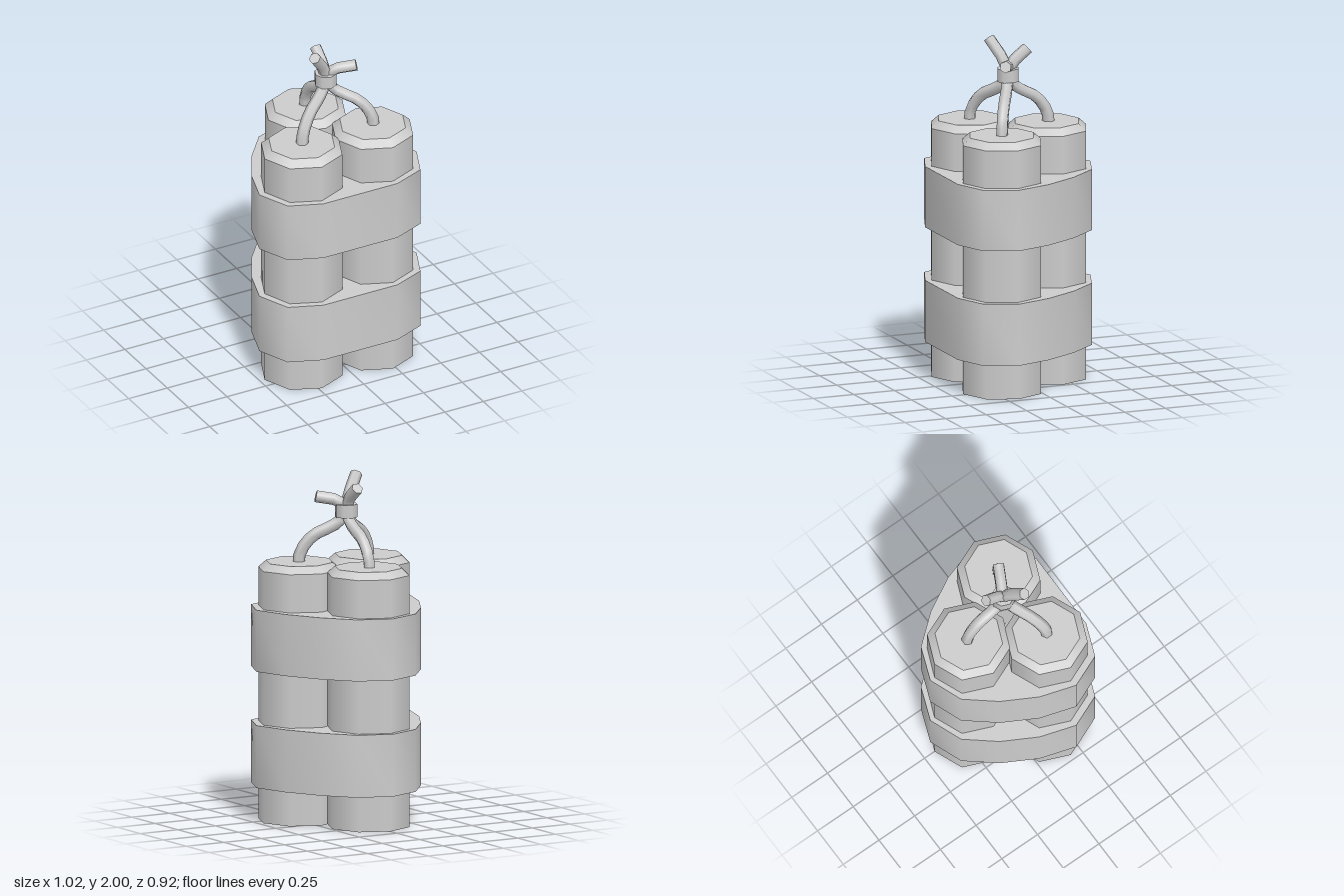
import * as THREE from 'three';
import { toCreasedNormals } from 'three/addons/utils/BufferGeometryUtils.js';

const grey = new THREE.MeshStandardMaterial({ color: 0xcccccc });
grey.name = 'plain grey';

function add(parent, geometry, name, x = 0, y = 0, z = 0) {
  const mesh = new THREE.Mesh(geometry, grey);
  mesh.name = name;
  mesh.position.set(x, y, z);
  parent.add(mesh);
  return mesh;
}

// Octagonal stick with a bevelled top edge
function makeStick(x, z) {
  const stick = new THREE.Group();
  stick.name = 'stick';
  stick.position.set(x, 0, z);
  add(stick, new THREE.CylinderGeometry(0.24, 0.24, 1.45, 8, 1, true), 'stickBody', 0, 0.725);
  add(stick, new THREE.CylinderGeometry(0.195, 0.24, 0.04, 8, 1, true), 'stickBevel', 0, 1.47);
  add(stick, new THREE.CircleGeometry(0.195, 8).rotateX(-Math.PI / 2), 'stickTop', 0, 1.49);
  add(stick, new THREE.CircleGeometry(0.24, 8).rotateX(Math.PI / 2), 'stickBottom');
  return stick;
}

// Strap wrapped around all sticks, open in the gap between them
function makeBand(bottom, top) {
  const half = [[0.195, -0.385], [0.335, -0.215], [0.445, -0.015], [0.51, 0.195], [0.43, 0.385], [0.24, 0.46]];
  const mirrored = half.map(([x, z]) => [-x, z]).reverse();
  const points = (list) => list.map(([x, z]) => new THREE.Vector2(x, z));
  const shape = new THREE.Shape(points([[0, -0.46], ...half, ...mirrored]));
  shape.holes.push(new THREE.Path(points([[0, 0.05], [-0.053, 0.03], [0, 0.162], [0.053, 0.03]])));
  const geometry = new THREE.ExtrudeGeometry(shape, { depth: top - bottom, bevelEnabled: false });
  geometry.rotateX(Math.PI / 2).translate(0, top, 0);
  return toCreasedNormals(geometry, 0.85);
}

// Hexagonal cord: arches from a stick to the knot, then splays to a cut tip
const knot = new THREE.Vector3(0, 1.78, 0.05);
function makeFuse(base, tip) {
  const fuse = new THREE.Group();
  fuse.name = 'fuse';
  const arch = [[1, 1.47], [0.97, 1.54], [0.71, 1.635], [0.3, 1.692], [0.1, 1.73], [0.03, 1.79]].map(([t, y]) =>
    new THREE.Vector3(THREE.MathUtils.lerp(knot.x, base[0], t), y, THREE.MathUtils.lerp(knot.z, base[1], t)));
  add(fuse, new THREE.TubeGeometry(new THREE.CatmullRomCurve3(arch), 8, 0.035, 6), 'fuseArch');

  const end = new THREE.Vector3(...tip);
  const bend = new THREE.Vector3(knot.x, 1.825, knot.z).lerp(end, 0.2);
  const curve = new THREE.CatmullRomCurve3([knot, bend, end]);
  const tube = new THREE.TubeGeometry(curve, 4, 0.035, 6);
  add(fuse, tube, 'fuseTip');

  // Flat cut face using the last ring of the tip
  const ring = Array.from({ length: 6 }, (_, j) =>
    new THREE.Vector3().fromBufferAttribute(tube.attributes.position, 4 * 7 + j));
  const corners = [];
  for (let j = 1; j < 5; j++) corners.push(ring[0], ring[j + 1], ring[j]);
  const cap = new THREE.BufferGeometry().setFromPoints(corners);
  cap.computeVertexNormals();
  add(fuse, cap, 'fuseCutEnd');
  return fuse;
}

export function createModel() {
  const model = new THREE.Group();
  model.name = 'stickBundle';

  for (const [x, z] of [[-0.23, 0.185], [0.23, 0.185], [0, -0.19]]) model.add(makeStick(x, z));

  add(model, makeBand(0.205, 0.565), 'lowerBand');
  add(model, makeBand(0.875, 1.23), 'upperBand');

  model.add(makeFuse([-0.23, 0.19], [-0.11, 1.977, 0.12]));
  model.add(makeFuse([0.235, 0.185], [0.155, 1.865, 0.13]));
  model.add(makeFuse([0, -0.2], [0, 1.925, -0.07]));

  // Collar tying the fuses together
  add(model, new THREE.CylinderGeometry(0.065, 0.065, 0.075, 8), 'fuseCollar', 0, 1.782, 0.05);
  return model;
}
